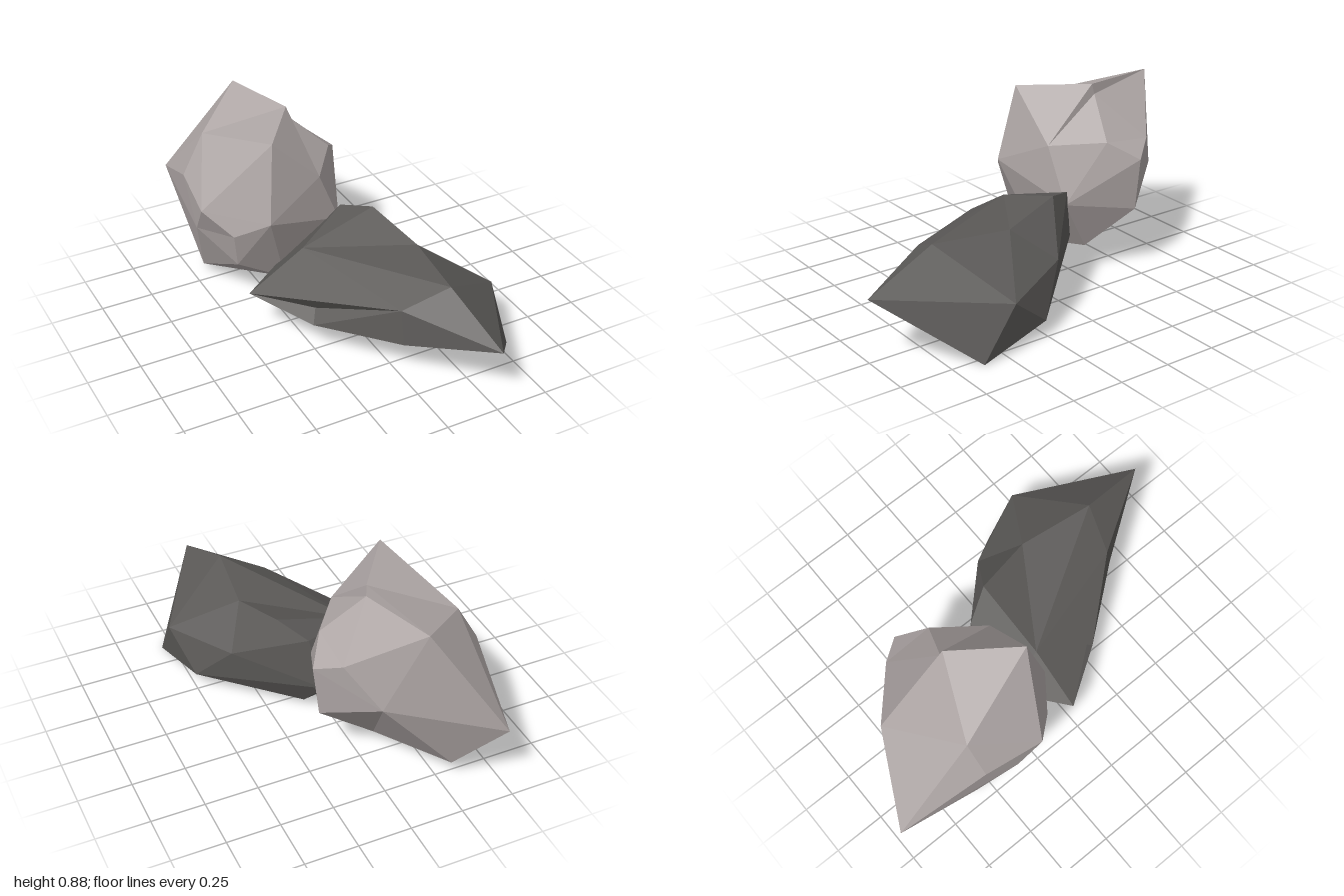
import * as THREE from 'three';
import { ConvexGeometry } from 'three/addons/geometries/ConvexGeometry.js';

// Faceted boulder: corners are joined in the order they surround the centre,
// so shallow dents between corners survive. 'even' evens out a long shape first.
function boulder(name, material, centre, corners, even) {
  const c = new THREE.Vector3(...centre);
  const points = corners.map((p) => new THREE.Vector3(...p));
  const onSphere = points.map((p) => even(p.clone().sub(c)).normalize());
  const geometry = new ConvexGeometry(onSphere);
  const pos = geometry.attributes.position;
  const v = new THREE.Vector3();
  for (let i = 0; i < pos.count; i++) {
    v.fromBufferAttribute(pos, i);
    let best = 0;
    onSphere.forEach((s, j) => {
      if (s.distanceToSquared(v) < onSphere[best].distanceToSquared(v)) best = j;
    });
    pos.setXYZ(i, points[best].x, points[best].y, points[best].z);
  }
  geometry.computeVertexNormals();
  const mesh = new THREE.Mesh(geometry, material);
  mesh.name = name;
  return mesh;
}

export function createModel() {
  const paleStone = new THREE.MeshStandardMaterial({ name: 'paleStone', color: 0xb0a8a7, flatShading: true });
  const darkStone = new THREE.MeshStandardMaterial({ name: 'darkStone', color: 0x5c5a58, flatShading: true });
  const group = new THREE.Group();
  group.name = 'rocks';

  // Tall pale boulder at the back
  group.add(boulder('tallBoulder', paleStone, [-0.17, 0.45, -0.45], [
    // crown, with a small step on its left
    [-0.14, 0.865, -0.82], [-0.05, 0.885, -0.42], [-0.045, 0.835, -0.43], [-0.26, 0.88, -0.13], [-0.41, 0.76, -0.58],
    // front
    [-0.31, 0.51, -0.06], [-0.45, 0.43, -0.16], [-0.42, 0.25, -0.2], [-0.02, 0.645, -0.14], [0.09, 0.38, -0.16],
    // sides and back
    [-0.555, 0.535, -0.28], [-0.52, 0.57, -0.57], [-0.535, 0.375, -0.4], [-0.45, 0.385, -1],
    [0.14, 0.66, -0.36], [0.23, 0.575, -0.49], [0.14, 0.635, -0.6], [0.2, 0.32, -0.49], [0.015, 0.45, -0.73],
    // underside
    [-0.445, 0.043, -0.57], [-0.18, 0.105, -0.2], [-0.09, 0.073, -0.45], [0.05, 0.125, -0.31], [-0.3, 0.095, -0.8],
  ], (d) => d));

  // Long low dark boulder at the front
  group.add(boulder('longBoulder', darkStone, [0.13, 0.25, 0.28], [
    // top ridge, front to back
    [0.26, 0.3, 1], [0.21, 0.44, 0.65], [0.26, 0.43, 0.28], [0.19, 0.495, -0.01], [0.1, 0.45, -0.16],
    // right side
    [-0.18, 0.385, 0], [0, 0.345, 0.59], [0, 0.18, 0.62], [-0.455, 0.22, 0], [-0.27, 0.16, 0.28], [-0.23, 0.205, 0.22],
    // left side
    [0.555, 0.24, 0.46], [0.55, 0, 0.62], [0.5, 0.08, 0.26], [0.375, 0.28, 0.1],
    // back and underside
    [0.09, 0.04, -0.08], [0.05, 0.2, -0.22], [-0.2, 0.21, -0.2],
  ], (d) => d.set(d.x - 0.3 * d.z, d.y * 1.5, d.z * 0.6)));

  return group;
}
